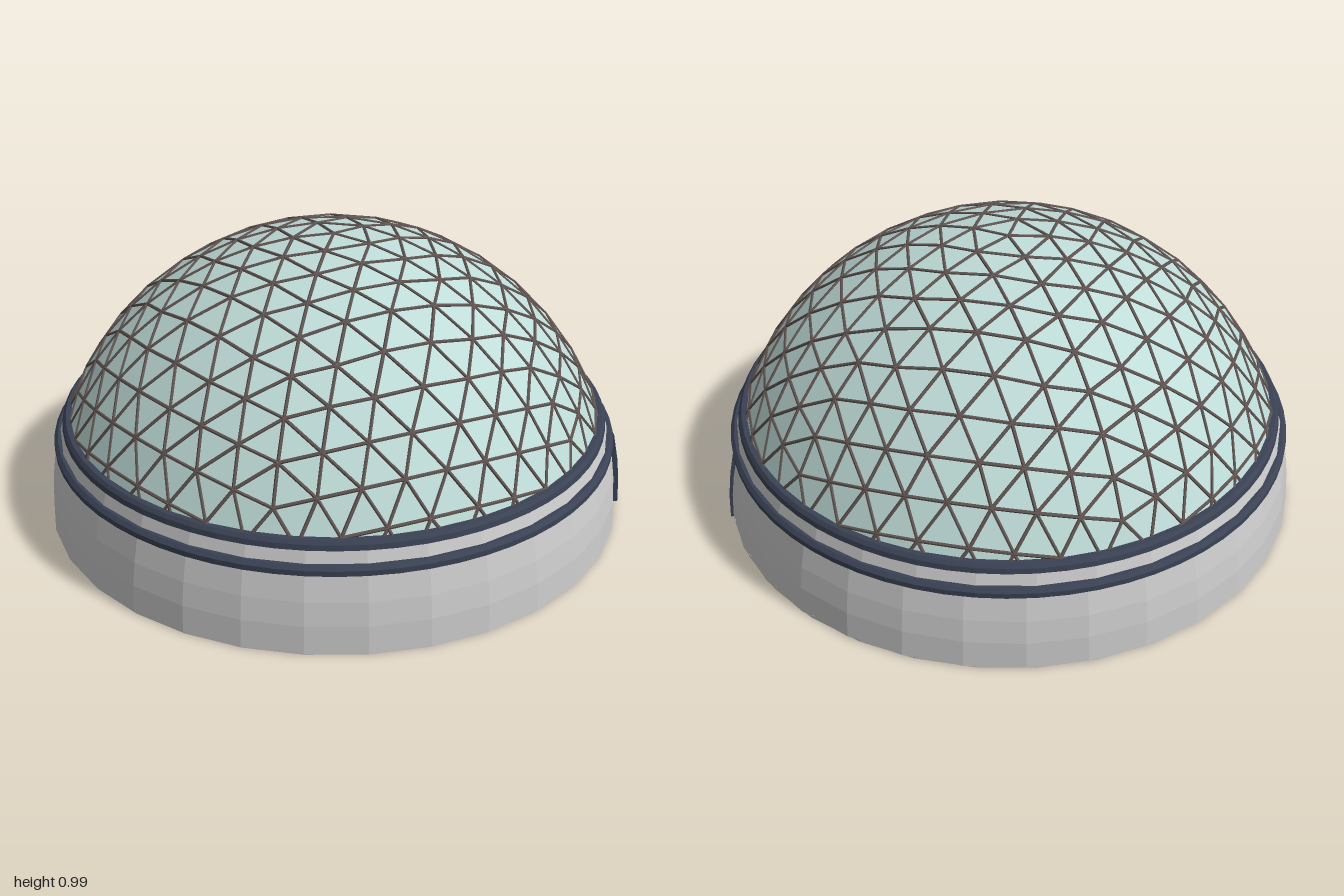
import * as THREE from 'three';

const mat = (color, extra = {}) => new THREE.MeshStandardMaterial({ color, side: THREE.DoubleSide, flatShading: true, ...extra });
const SEG = 32;
const DOOR_L = 0.18, DOOR_R = -0.145; // z of the doorway sides
const WALL_IN = 0.87;

// Icosahedron with a vertex at the pole, split by midpoints onto the unit sphere
function geodesicFaces(levels) {
  const ring = (y, start) => Array.from({ length: 5 }, (_, i) => {
    const a = start + i * Math.PI * 2 / 5, r = Math.sqrt(1 - y * y);
    return new THREE.Vector3(r * Math.cos(a), y, -r * Math.sin(a));
  });
  const h = 1 / Math.sqrt(5);
  const top = new THREE.Vector3(0, 1, 0), bottom = new THREE.Vector3(0, -1, 0);
  const up = ring(h, Math.PI), low = ring(-h, Math.PI * 1.2);
  let faces = [];
  for (let i = 0; i < 5; i++) {
    const j = (i + 1) % 5;
    faces.push([top, up[i], up[j]], [up[i], low[i], up[j]], [up[j], low[i], low[j]], [low[i], bottom, low[j]]);
  }
  const mid = (a, b) => a.clone().add(b).normalize();
  for (let l = 0; l < levels; l++) {
    faces = faces.flatMap(([a, b, c]) => {
      const ab = mid(a, b), bc = mid(b, c), ca = mid(c, a);
      return [[a, ab, ca], [ab, b, bc], [ca, bc, c], [ab, bc, ca]];
    });
  }
  return faces;
}

export function createModel() {
  const model = new THREE.Group();
  const grey = mat(0xcccccc), trim = mat(0x3a4254), strutMat = mat(0x5e5350), glass = mat(0xbfdcd8);
  const add = (name, geometry, material, parent = model) => {
    const mesh = new THREE.Mesh(geometry, material);
    mesh.name = name;
    parent.add(mesh);
    return mesh;
  };
  const lathe = (pts, start = 0, length = Math.PI * 2, seg = SEG) =>
    new THREE.LatheGeometry(pts.map(p => new THREE.Vector2(...p)), seg, start, length);

  // Ground slab and raised inner floor
  add('groundSlab', new THREE.CylinderGeometry(0.995, 0.995, 0.012, SEG), grey).position.y = 0.006;
  add('innerFloor', new THREE.CylinderGeometry(0.86, 0.86, 0.07, SEG), grey).position.y = 0.045;

  // Lower wall follows the sphere and leaves the doorway open on +x
  add('lowerWall', lathe(
    [[WALL_IN, 0.005], [0.998, 0.005], [0.993, 0.1], [0.982, 0.18], [0.962, 0.275], [WALL_IN, 0.275], [WALL_IN, 0.005]],
    Math.PI / 2 - DOOR_R, Math.PI * 2 - (DOOR_L - DOOR_R), SEG - 2), grey);

  // Upper wall band above the doorway
  add('upperWall', lathe([[WALL_IN, 0.27], [0.962, 0.27], [0.953, 0.3], [0.936, 0.36], [WALL_IN, 0.36], [WALL_IN, 0.27]]), grey);

  // Dark trim rings
  add('lowerRing', lathe([[0.94, 0.27], [0.974, 0.27], [0.974, 0.288], [0.962, 0.3], [0.93, 0.3], [0.94, 0.27]], 0, Math.PI * 2, 64), trim);
  add('upperRing', lathe([[0.91, 0.34], [0.943, 0.34], [0.94, 0.358], [0.93, 0.37], [0.905, 0.37], [0.91, 0.34]], 0, Math.PI * 2, 64), trim);

  // Doorway: curved jambs and the recess sides behind them
  const door = new THREE.Group();
  door.name = 'doorway';
  model.add(door);
  for (const z of [DOOR_L, DOOR_R]) {
    const outline = new THREE.Shape([[0.94, 0.005], [0.993, 0.005], [0.989, 0.1], [0.979, 0.18], [0.96, 0.275], [0.93, 0.275]]
      .map(p => new THREE.Vector2(...p)));
    add('doorJamb', new THREE.ExtrudeGeometry(outline, { depth: 0.034, bevelEnabled: false }), trim, door).position.z = z - 0.017;
    add('recessSide', new THREE.BoxGeometry(0.09, 0.26, 0.02), grey, door).position.set(0.905, 0.14, z);
  }

  // Glass dome and its struts, cut just below the upper ring
  const CUT = 0.31, R = 0.986;
  const faces = geodesicFaces(3).map(f => f.map(v => v.clone().multiplyScalar(R)));
  const cutPoint = (a, b) => a.clone().lerp(b, (CUT - a.y) / (b.y - a.y));
  const positions = [], edges = new Map();
  const key = v => [v.x, v.y, v.z].map(n => Math.round(n * 1000)).join();
  for (const face of faces) {
    const poly = [];
    face.forEach((a, i) => {
      const b = face[(i + 1) % 3];
      if (a.y >= CUT) poly.push(a);
      if ((a.y >= CUT) !== (b.y >= CUT)) poly.push(cutPoint(a, b));
      if (a.y < CUT && b.y < CUT) return;
      const p = a.y < CUT ? cutPoint(a, b) : a, q = b.y < CUT ? cutPoint(a, b) : b;
      edges.set([key(a), key(b)].sort().join('|'), [p, q]);
    });
    for (let i = 1; i + 1 < poly.length; i++) {
      for (const v of [poly[0], poly[i], poly[i + 1]]) positions.push(v.x, v.y, v.z);
    }
  }
  const shell = new THREE.BufferGeometry();
  shell.setAttribute('position', new THREE.Float32BufferAttribute(positions, 3));
  shell.computeVertexNormals();
  add('glassDome', shell, glass);

  const struts = new THREE.Group();
  struts.name = 'domeStruts';
  model.add(struts);
  const bar = new THREE.CylinderGeometry(0.006, 0.006, 1, 6, 1, true);
  const up = new THREE.Vector3(0, 1, 0);
  for (const [p, q] of edges.values()) {
    const dir = q.clone().sub(p), length = dir.length();
    if (length < 1e-3) continue;
    const strut = add('strut', bar, strutMat, struts);
    strut.position.copy(p).add(q).multiplyScalar(0.5);
    strut.quaternion.setFromUnitVectors(up, dir.divideScalar(length));
    strut.scale.y = length;
  }
  return model;
}
